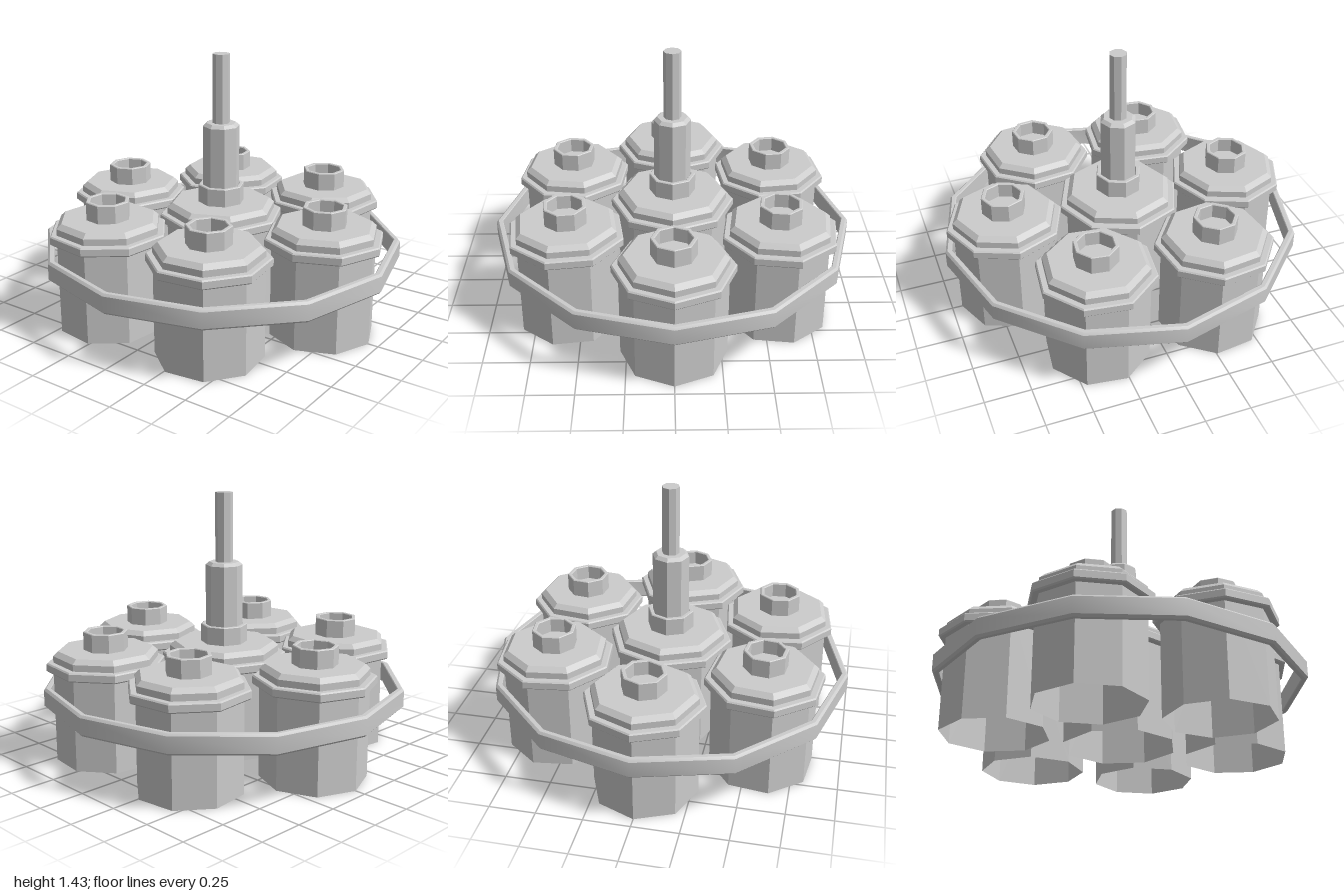
import * as THREE from 'three';
import { toCreasedNormals } from 'three/addons/utils/BufferGeometryUtils.js';

const flatGrey = new THREE.MeshStandardMaterial({
  color: 0xcccccc, flatShading: true, side: THREE.DoubleSide,
});
const smoothGrey = new THREE.MeshStandardMaterial({ color: 0xcccccc });

// Revolve [radius, height] pairs, listed from the bottom up the outside
const lathe = (profile, sides) =>
  new THREE.LatheGeometry(profile.map(([r, y]) => new THREE.Vector2(r, y)), sides);

function part(name, geometry, material = flatGrey) {
  const mesh = new THREE.Mesh(geometry, material);
  mesh.name = name;
  return mesh;
}

// Octagonal canister, open below, with a collar, chamfered shoulder and hollow neck
function canister(name) {
  const group = new THREE.Group();
  group.name = name;
  group.add(part('body', lathe([
    [0.284, 0], [0.284, 0.585], [0.257, 0.61], [0, 0.61],
  ], 8)));
  group.add(part('collar', lathe([
    [0.284, 0.5], [0.314, 0.5], [0.321, 0.507], [0.321, 0.543], [0.314, 0.55], [0.284, 0.55],
  ], 8)));
  group.add(part('neck', lathe([
    [0.12, 0.61], [0.12, 0.706], [0.116, 0.71], [0.101, 0.71], [0.097, 0.706], [0.097, 0.63], [0, 0.63],
  ], 8)));
  return group;
}

export function createModel() {
  const model = new THREE.Group();
  model.name = 'canisterCluster';

  // Six canisters around a slightly wider central one
  for (let i = 0; i < 6; i++) {
    const outer = canister('outerCanister');
    const angle = (i * Math.PI) / 3;
    outer.position.set(0.66 * Math.sin(angle), 0, 0.66 * Math.cos(angle));
    outer.rotation.y = angle;
    model.add(outer);
  }
  const centre = canister('centralCanister');
  centre.scale.set(1.065, 1, 1.065);
  model.add(centre);

  // Central post and the thin rod above it
  model.add(part('post', lathe([
    [0.101, 0.63], [0.101, 1.04], [0.082, 1.057], [0, 1.057],
  ], 8)));
  model.add(part('rod', lathe([
    [0.048, 1.057], [0.048, 1.435], [0, 1.435],
  ], 8)));

  // Twelve-sided band holding the cluster together
  const band = lathe([
    [0.963, 0.304], [0.967, 0.3], [0.988, 0.3], [1, 0.312],
    [1, 0.398], [0.988, 0.41], [0.967, 0.41], [0.963, 0.406], [0.963, 0.304],
  ], 12);
  model.add(part('band', toCreasedNormals(band, THREE.MathUtils.degToRad(35)), smoothGrey));

  return model;
}
